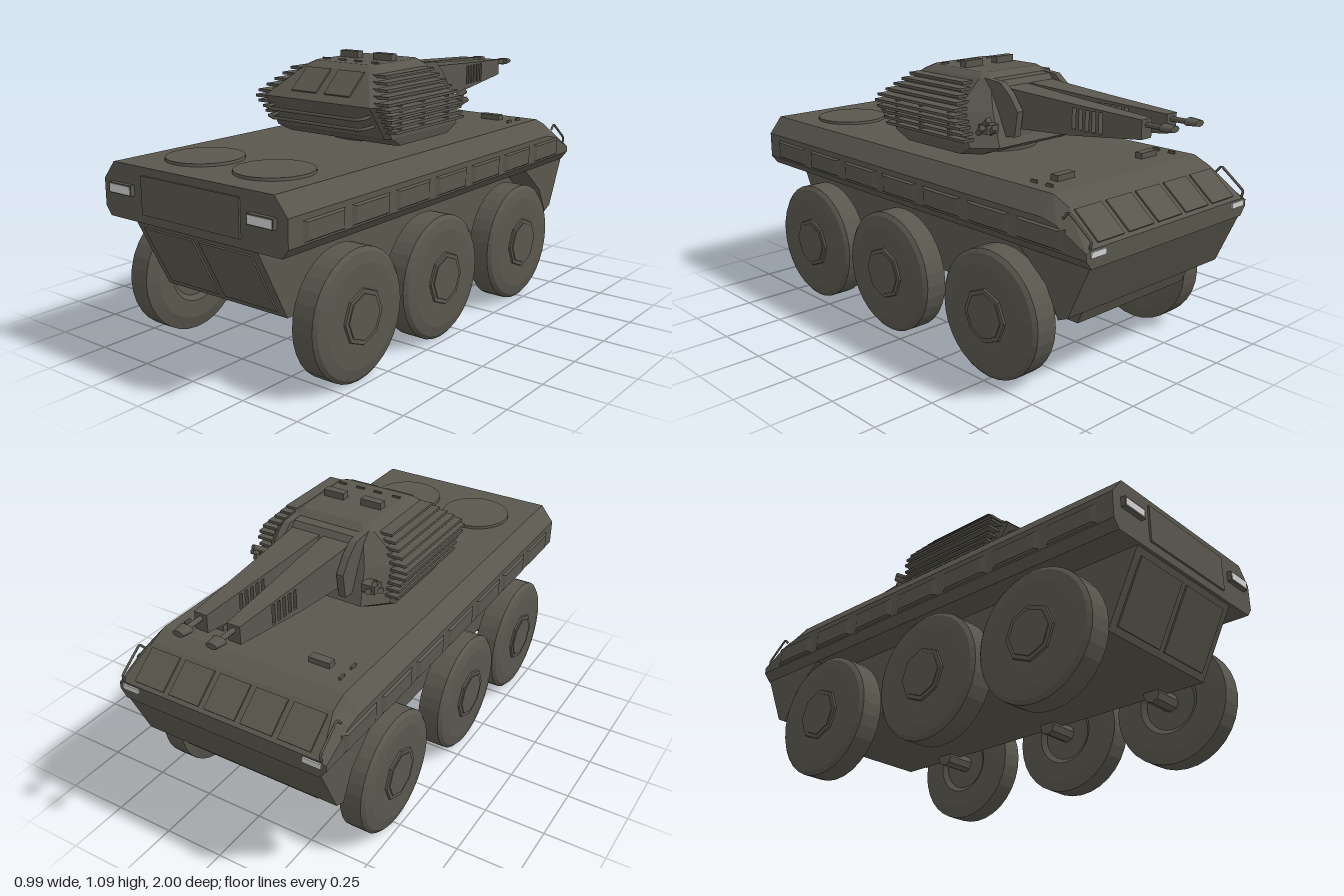
import * as THREE from 'three';

const paint = new THREE.MeshStandardMaterial({ color: 0x59574d });
paint.name = 'olive paint';
const lampGlass = new THREE.MeshStandardMaterial({ color: 0xd2d2d2 });
lampGlass.name = 'lamp glass';

function add(parent, name, geometry, x = 0, y = 0, z = 0, material = paint) {
  const mesh = new THREE.Mesh(geometry, material);
  mesh.name = name;
  mesh.position.set(x, y, z);
  parent.add(mesh);
  return mesh;
}
const box = (w, h, d) => new THREE.BoxGeometry(w, h, d);

// Flat-faced skin through rings of equal length, closed at both ends
function loft(rings) {
  const out = [];
  const tri = (a, b, c) => out.push(...a, ...b, ...c);
  const n = rings[0].length;
  for (let i = 0; i < rings.length - 1; i++) {
    for (let j = 0; j < n; j++) {
      const k = (j + 1) % n;
      tri(rings[i][j], rings[i][k], rings[i + 1][k]);
      tri(rings[i][j], rings[i + 1][k], rings[i + 1][j]);
    }
  }
  const first = rings[0], last = rings[rings.length - 1];
  for (let j = 1; j < n - 1; j++) {
    tri(first[0], first[j + 1], first[j]);
    tri(last[0], last[j], last[j + 1]);
  }
  const g = new THREE.BufferGeometry();
  g.setAttribute('position', new THREE.Float32BufferAttribute(out, 3));
  g.computeVertexNormals();
  return g;
}

const mirrored = (half) => [...half, ...half.slice().reverse().map(([x, y, z]) => [-x, y, z])];

// Side outline given as [z, y], extruded across x and centred
function sideExtrude(outline, width, holes = []) {
  const points = (list) => list.map(([z, y]) => new THREE.Vector2(-z, y));
  const shape = new THREE.Shape(points(outline));
  shape.holes = holes.map((h) => new THREE.Path(points(h)));
  const g = new THREE.ExtrudeGeometry(shape, { depth: width, bevelEnabled: false });
  return g.translate(0, 0, -width / 2).rotateY(Math.PI / 2);
}

function pipe(points, radius) {
  const curve = new THREE.CatmullRomCurve3(points.map((p) => new THREE.Vector3(...p)), false, 'catmullrom', 0.1);
  return new THREE.TubeGeometry(curve, 20, radius, 6);
}

function buildHull(model) {
  const hull = new THREE.Group();
  hull.name = 'hull';
  model.add(hull);
  // z, top height, shoulder height, top half width
  const sections = [[-0.945, 0.61, 0.6, 0.435], [-0.81, 0.72, 0.665, 0.4], [-0.74, 0.75, 0.68, 0.4], [0.98, 0.75, 0.68, 0.4]];
  add(hull, 'upperHull', loft(sections.map(([z, top, shoulder, w]) =>
    mirrored([[0.43, 0.54, z], [0.457, 0.575, z], [0.457, shoulder, z], [w, top, z]]))));
  add(hull, 'lowerHull', sideExtrude([[0.97, 0.545], [0.825, 0.26], [-0.78, 0.26], [-0.9, 0.545]], 0.61));
  add(hull, 'noseWedge', sideExtrude([[-0.6, 0.545], [-0.94, 0.545], [-0.845, 0.335], [-0.8, 0.315], [-0.74, 0.43]], 0.86));

  // Nose panels lying on the sloped front plate
  for (let i = -2; i <= 2; i++) {
    add(hull, 'nosePanel', box(0.135, 0.012, 0.14), i * 0.16, 0.665, -0.878).rotation.x = -0.683;
  }

  // Rear plate and sloped lower doors
  add(hull, 'rearPlate', box(0.49, 0.145, 0.012), 0, 0.647, 0.982);
  for (const s of [-1, 1]) {
    add(hull, 'rearDoor', box(0.255, 0.26, 0.012), s * 0.143, 0.4, 0.897).rotation.x = 0.47;
    add(hull, 'rearLampHousing', box(0.12, 0.04, 0.02), s * 0.35, 0.656, 0.988);
    add(hull, 'rearLamp', box(0.11, 0.03, 0.006), s * 0.35, 0.656, 0.997, lampGlass);
    add(hull, 'frontLamp', box(0.075, 0.022, 0.008), s * 0.4, 0.592, -0.947, lampGlass);
    add(hull, 'lampGuard', pipe([[s * 0.435, 0.69, -0.82], [s * 0.435, 0.715, -0.845], [s * 0.435, 0.64, -0.945], [s * 0.435, 0.61, -0.94]], 0.005));

    // Bevelled side armour
    for (let i = 0; i < 7; i++) {
      const g = box(0.014, 0.08, 0.235);
      const p = g.attributes.position;
      for (let v = 0; v < p.count; v++) {
        if (p.getX(v) * s > 0) p.setXYZ(v, p.getX(v), p.getY(v) * 0.8, p.getZ(v) * 0.78);
      }
      g.computeVertexNormals();
      add(hull, 'sideArmour', g, s * 0.46, 0.62, 0.8 - i * 0.255);
    }

    // Deck fittings
    add(hull, 'deckHatch', new THREE.CylinderGeometry(0.148, 0.15, 0.012, 32), s * 0.175, 0.755, 0.735);
    add(hull, 'deckPeriscope', box(0.09, 0.025, 0.035), s * 0.235, 0.76, -0.63);
    for (const z of [-0.67, -0.595]) add(hull, 'deckClip', box(0.008, 0.012, 0.03), s * 0.345, 0.755, z);
  }
}

function buildWheels(model) {
  // Tyre profile: radius, distance along the axle
  const profile = [[0.001, -0.045], [0.11, -0.045], [0.13, -0.062], [0.2, -0.062], [0.25, -0.047], [0.25, 0.042],
    [0.235, 0.055], [0.195, 0.063], [0.12, 0.063], [0.001, 0.058]].map((p) => new THREE.Vector2(...p));
  const tyre = new THREE.LatheGeometry(profile, 32).rotateZ(-Math.PI / 2).toNonIndexed();
  tyre.computeVertexNormals();
  const octagon = (r0, r1, h) => {
    const g = new THREE.CylinderGeometry(r0, r1, h, 8).rotateZ(-Math.PI / 2).toNonIndexed();
    g.computeVertexNormals();
    return g;
  };
  for (const z of [0.63, 0.11, -0.49]) {
    for (const s of [-1, 1]) {
      const wheel = new THREE.Group();
      wheel.name = 'wheel';
      wheel.position.set(s * 0.422, 0.25, z);
      if (s < 0) wheel.rotation.y = Math.PI;
      add(wheel, 'tyre', tyre);
      add(wheel, 'hubRim', octagon(0.105, 0.11, 0.016), 0.062);
      add(wheel, 'hubCap', octagon(0.088, 0.096, 0.02), 0.063);
      add(wheel, 'axle', octagon(0.037, 0.037, 0.16), -0.1);
      model.add(wheel);
    }
  }
}

function buildTurret(model) {
  const turret = new THREE.Group();
  turret.name = 'turret';
  turret.position.x = 0.018;
  model.add(turret);
  add(turret, 'turretRing', new THREE.CylinderGeometry(0.18, 0.18, 0.03, 32), 0, 0.757, -0.04);

  // y, half width, rear z, front z, rear chamfer, front chamfer
  const rings = [[0.765, 0.285, 0.18, -0.22, 0.02, 0.06], [0.8, 0.293, 0.25, -0.3, 0.02, 0.08], [0.93, 0.293, 0.33, -0.24, 0.03, 0.1],
    [1.045, 0.18, 0.2, -0.18, 0.02, 0.03], [1.065, 0.15, 0.165, -0.15, 0.02, 0.02]];
  add(turret, 'turretBody', loft(rings.map(([y, w, r, f, cr, cf]) =>
    mirrored([[w - cr, y, r], [w, y, r - cr], [w, y, f + cf], [w - cf, y, f]]))));

  // Slat armour following the turret sides
  const at = (y) => {
    const i = rings.findIndex((r) => r[0] >= y);
    const t = (y - rings[i - 1][0]) / (rings[i][0] - rings[i - 1][0]);
    return rings[i].map((v, k) => THREE.MathUtils.lerp(rings[i - 1][k], v, t));
  };
  for (const s of [-1, 1]) {
    for (let i = 0; i < 10; i++) {
      const y = 0.83 + i * 0.0222;
      const [, w, r, f] = at(y);
      const out = y < 0.88 ? 0.035 : 0.048;
      add(turret, 'slat', box(out + 0.02, 0.011, r - f - 0.08), s * (w + out / 2 - 0.01), y, (r + f) / 2 + 0.025);
    }
    for (const z of [-0.12, 0.05, 0.2]) add(turret, 'slatSupport', box(0.03, 0.11, 0.012), s * 0.3, 0.875, z);

    // Rear panels, roof periscopes and their small hinges
    add(turret, 'rearPanel', box(0.125, 0.125, 0.012), s * 0.083, 0.997, 0.256).rotation.x = -0.846;
    add(turret, 'roofPeriscope', box(0.09, 0.035, 0.035), s * 0.085, 1.075, 0);
    for (const x of [0.04, 0.125]) add(turret, 'roofHinge', box(0.035, 0.01, 0.008), s * x, 1.067, 0.115);

    // Gun cradle cheeks
    add(turret, 'gunCheek', sideExtrude([[-0.12, 1.05], [-0.25, 1.04], [-0.3, 1.0], [-0.345, 0.94], [-0.33, 0.84], [-0.12, 0.82]], 0.03), s * 0.15);

    // Smoke launcher clusters on the front corners
    for (let k = 0; k < 3; k++) {
      const tube = add(turret, 'smokeLauncher', new THREE.CylinderGeometry(0.012, 0.012, 0.07, 8), s * (0.245 + k * 0.018), 0.875 + (k % 2) * 0.03, -0.295 + k * 0.015);
      tube.rotation.set(-1.1, -s * 0.5, 0, 'YXZ');
    }
    add(turret, 'launcherBracket', box(0.06, 0.035, 0.05), s * 0.235, 0.875, -0.26);
  }
  add(turret, 'mantlet', sideExtrude([[-0.1, 1.05], [-0.22, 1.04], [-0.27, 0.98], [-0.29, 0.83], [-0.1, 0.81]], 0.28));

  // Rear hand rails
  for (const [y, z] of [[0.885, 0.358], [0.845, 0.342]]) {
    add(turret, 'rearRail', pipe([[-0.245, y + 0.008, z - 0.07], [-0.242, y + 0.004, z - 0.008], [-0.22, y, z], [0.22, y, z],
      [0.242, y + 0.004, z - 0.008], [0.245, y + 0.008, z - 0.07]], 0.007));
  }

  // Twin guns with vented, tapering shrouds
  const vents = [-0.583, -0.613, -0.643, -0.673, -0.703].map((z) =>
    [[z + 0.008, 0.905], [z - 0.008, 0.905], [z - 0.008, 0.985], [z + 0.008, 0.985]]);
  for (const s of [-1, 1]) {
    const shroud = sideExtrude([[-0.2, 1.02], [-0.56, 1.0], [-0.88, 0.985], [-0.88, 0.915], [-0.56, 0.88], [-0.2, 0.86]], 0.13, vents);
    const p = shroud.attributes.position;
    for (let v = 0; v < p.count; v++) {
      p.setX(v, p.getX(v) * THREE.MathUtils.mapLinear(p.getZ(v), -0.2, -0.88, 1, 0.42));
    }
    shroud.computeVertexNormals();
    add(turret, 'gunShroud', shroud, s * 0.07);
    add(turret, 'gunBarrel', new THREE.CylinderGeometry(0.01, 0.01, 0.12, 10).rotateX(Math.PI / 2), s * 0.07, 0.965, -0.92);
    add(turret, 'muzzle', new THREE.CylinderGeometry(0.024, 0.032, 0.045, 8).rotateX(-Math.PI / 2).scale(1, 0.5, 1), s * 0.07, 0.967, -0.977);
  }
}

export function createModel() {
  const model = new THREE.Group();
  model.name = 'armouredVehicle';
  buildHull(model);
  buildWheels(model);
  buildTurret(model);
  return model;
}
